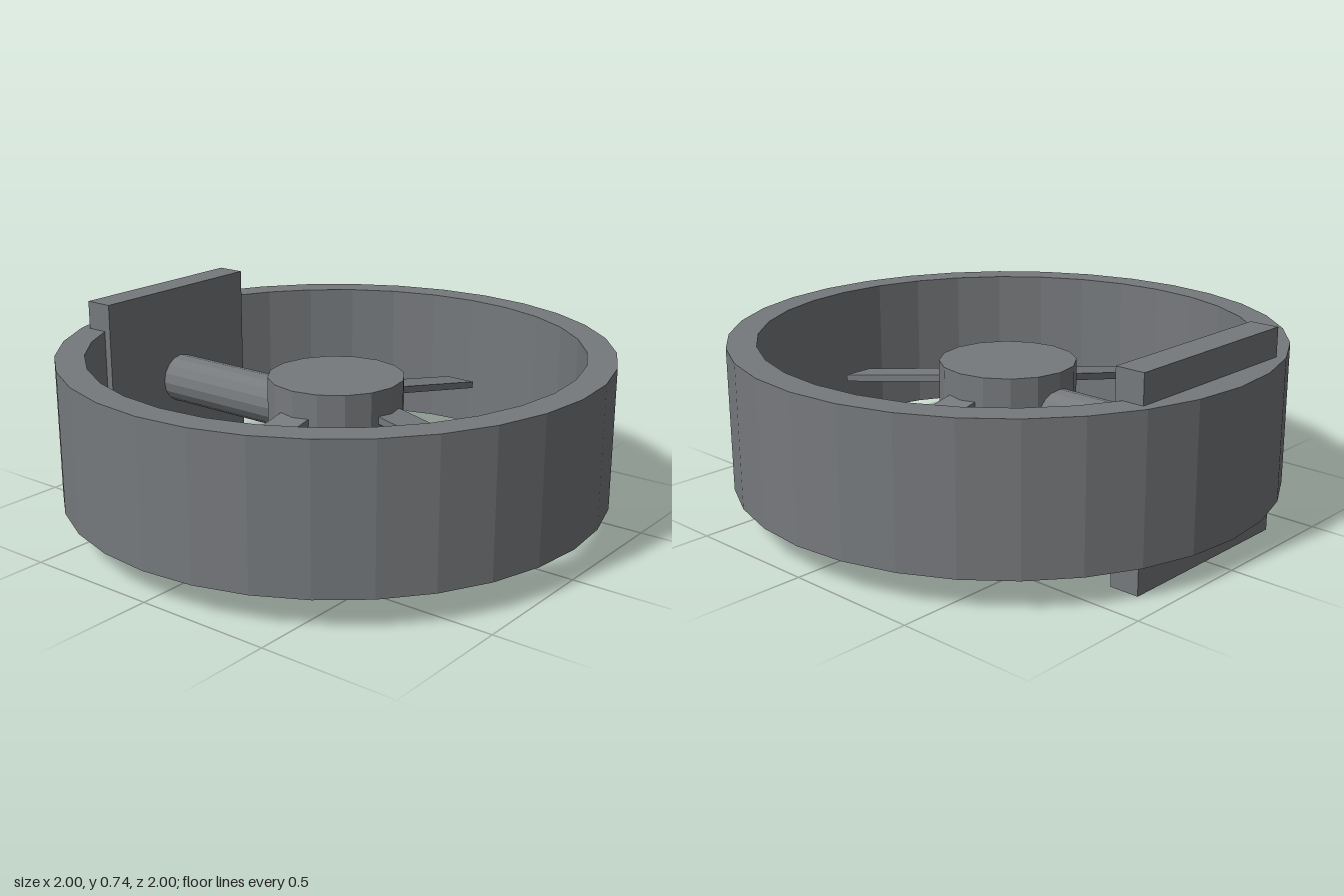
import * as THREE from 'three';

export function createModel() {
  const group = new THREE.Group();
  const material = new THREE.MeshStandardMaterial({ color: 0x76797c, flatShading: true });
  const midY = 0.37;

  const add = (name, geometry, x = 0, y = midY, z = 0, parent = group) => {
    const mesh = new THREE.Mesh(geometry, material);
    mesh.name = name;
    mesh.position.set(x, y, z);
    parent.add(mesh);
    return mesh;
  };

  // Outer ring: closed rectangular section revolved in 32 facets
  const outer = 1, inner = 0.895, half = 0.26;
  const section = [
    [outer, -half], [outer, half], [inner, half], [inner, -half], [outer, -half],
  ].map(([r, y]) => new THREE.Vector2(r, y));
  add('outerRing', new THREE.LatheGeometry(section, 32));

  // Central hub
  add('hub', new THREE.CylinderGeometry(0.25, 0.25, 0.31, 16));

  // Square mounting plate at the back and the strut joining it to the hub
  add('backPlate', new THREE.BoxGeometry(0.735, 0.735, 0.109), 0, 0.3675, -0.8405);
  const strut = add('strut', new THREE.CylinderGeometry(0.093, 0.093, 0.69, 16), 0, midY, -0.495);
  strut.rotation.x = Math.PI / 2;

  // Three flat blades, drooping slightly towards their tips
  ['leftBlade', 'frontBlade', 'rightBlade'].forEach((name, i) => {
    const arm = new THREE.Group();
    arm.name = name + 'Arm';
    arm.position.y = midY;
    arm.rotation.y = -i * Math.PI / 2;
    const blade = add(name, new THREE.BoxGeometry(0.72, 0.026, 0.125), 0.472, 0, 0, arm);
    blade.rotation.z = -0.2;
    group.add(arm);
  });

  return group;
}
